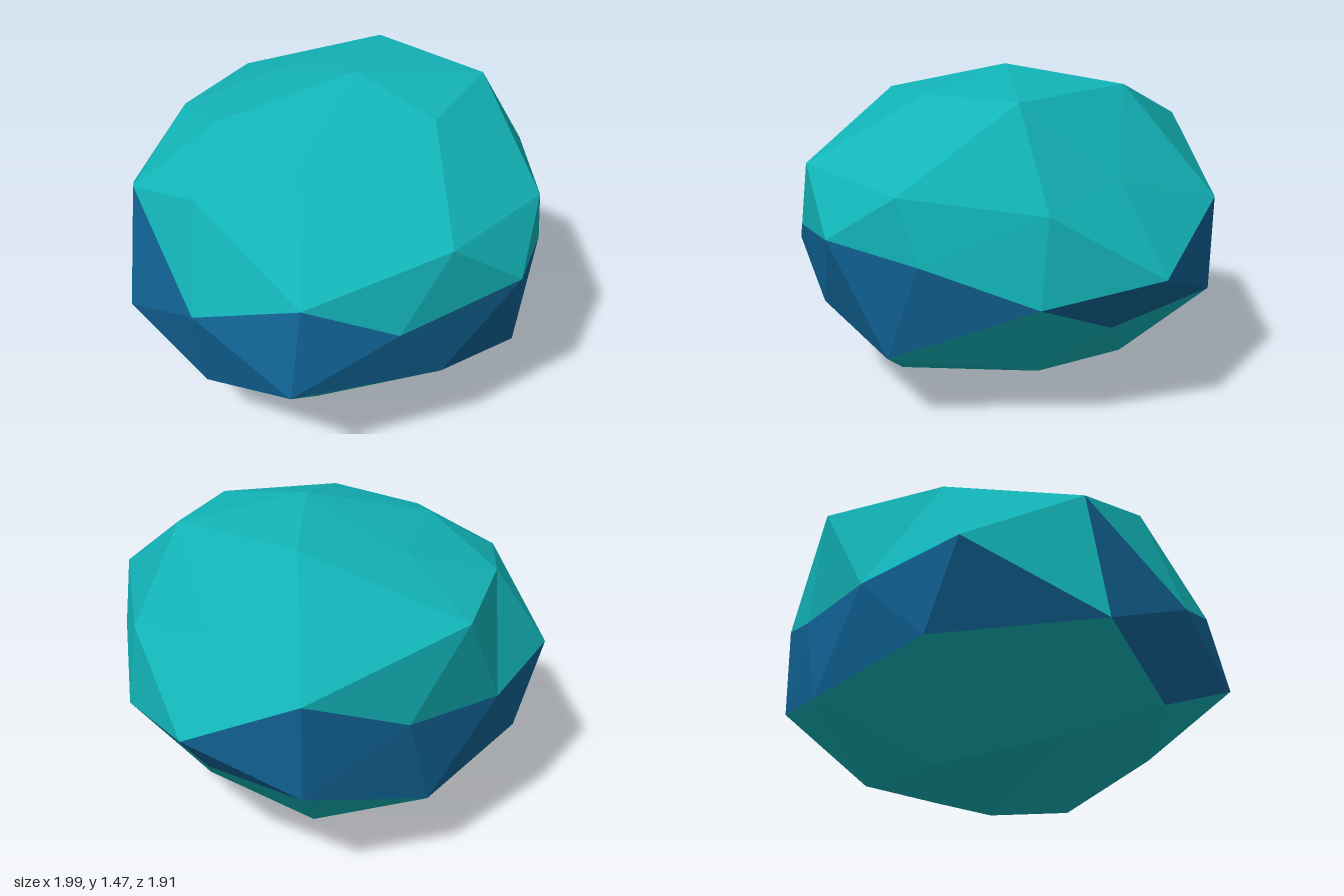
import * as THREE from 'three';

// Corner points of the stone, ring by ring from top to bottom;
// within a ring they run from +x round towards +z.
const RINGS = [
  [[.02, 1.47, -.01]],
  [[.02, 1.39, .44], [.04, 1.31, -.53]],
  [[.49, 1.41, .33], [-.56, 1.31, .2], [-.49, 1.3, -.36], [.49, 1.41, -.28]],
  [[.74, 1.08, -.01], [-.86, 1.175, -.1]],
  [[.29, 1.06, .81], [-.33, 1.085, .83], [-.31, 1.17, -.79], [.22, 1.15, -.93]],
  [[.74, 1, .39], [-.86, .915, .5], [-.84, 1.06, -.53], [.83, .93, -.52]],
  [[.99, .7, -.04], [.38, .78, .77], [-.01, .84, .95], [-.54, .74, .74],
    [-1, .71, 0], [-.53, .775, -.96], [-.03, .72, -.96], [.44, .75, -.79]],
  [[.75, .62, .44], [-.94, .53, .51], [-.93, .48, -.52], [.82, .5, -.52]],
  [[.19, .33, .8], [-.31, .44, .78], [-.33, .42, -.92], [.33, .35, -.83]],
  [[.74, .43, .02], [-.9, .28, -.06]],
  [[.49, .2, .21], [-.6, .22, .33], [-.6, .15, -.3], [.46, .13, -.34]],
  [[-.02, .15, .57], [-.08, .06, -.53]],
  [[.02, 0, 0]],
];

// Sort key of a sphere point: height first, then angle around y
function ringKey(p) {
  const turn = Math.PI * 2;
  const angle = (Math.atan2(p.z, p.x) + turn + 0.01) % turn;
  return -Math.round(p.y * 100) * 10 + angle;
}

// Once-subdivided icosahedron whose points are moved to the stone's corners
function stoneFaces() {
  const ball = new THREE.IcosahedronGeometry(1, 1).rotateY(Math.PI / 2);
  const pos = ball.getAttribute('position');
  const keys = [];
  for (let i = 0; i < pos.count; i++) {
    keys.push(ringKey(new THREE.Vector3().fromBufferAttribute(pos, i)).toFixed(2));
  }
  const order = [...new Set(keys)].sort((a, b) => a - b);
  const corners = RINGS.flat();
  const faces = [];
  for (let i = 0; i < pos.count; i += 3) {
    faces.push([0, 1, 2].map((k) => corners[order.indexOf(keys[i + k])]));
  }
  return faces;
}

function facetMesh(name, faces, material) {
  const geometry = new THREE.BufferGeometry();
  geometry.setAttribute('position', new THREE.Float32BufferAttribute(faces.flat(2), 3));
  geometry.computeVertexNormals();
  const mesh = new THREE.Mesh(geometry, material);
  mesh.name = name;
  return mesh;
}

export function createModel() {
  const teal = new THREE.MeshStandardMaterial({ color: 0x12b4b8, flatShading: true });
  teal.name = 'teal';
  const blue = new THREE.MeshStandardMaterial({ color: 0x116496, flatShading: true });
  blue.name = 'deep blue';

  const faces = stoneFaces();
  const height = (face) => (face[0][1] + face[1][1] + face[2][1]) / 3;

  const group = new THREE.Group();
  group.name = 'facetedStone';
  // Crown, blue middle band and base are split by the height of each facet
  group.add(facetMesh('crown', faces.filter((f) => height(f) >= 0.76), teal));
  group.add(facetMesh('middleBand', faces.filter((f) => height(f) > 0.45 && height(f) < 0.76), blue));
  group.add(facetMesh('base', faces.filter((f) => height(f) <= 0.45), teal));
  return group;
}
